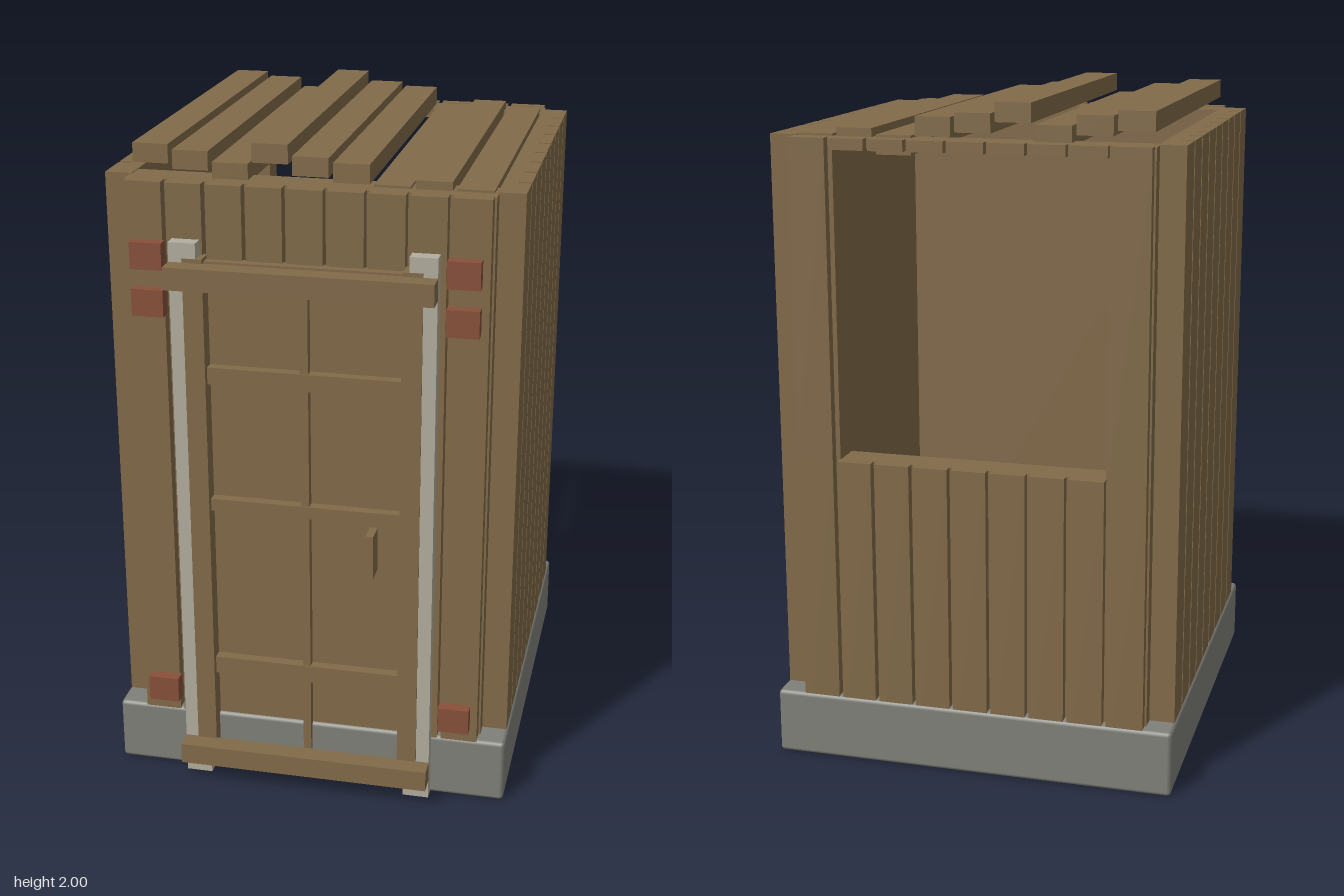
import * as THREE from 'three';
import { RoundedBoxGeometry } from 'three/addons/geometries/RoundedBoxGeometry.js';

const mat = (name, color) => {
  const m = new THREE.MeshStandardMaterial({ color });
  m.name = name;
  return m;
};

export function createModel() {
  const wood = mat('wood', 0x816a49);
  const stone = mat('stone', 0x80807a);
  const paleMetal = mat('pale metal', 0xb2ad9f);
  const rust = mat('rust red', 0x88503a);

  const model = new THREE.Group();
  model.name = 'woodenShed';
  const group = (name) => {
    const g = new THREE.Group();
    g.name = name;
    model.add(g);
    return g;
  };
  // Box given by its minimum and maximum on each axis
  const box = (parent, name, m, x0, x1, y0, y1, z0, z1) => {
    const mesh = new THREE.Mesh(new THREE.BoxGeometry(x1 - x0, y1 - y0, z1 - z0), m);
    mesh.position.set((x0 + x1) / 2, (y0 + y1) / 2, (z0 + z1) / 2);
    mesh.name = name;
    parent.add(mesh);
  };

  // Stone base with softened edges
  const base = new THREE.Mesh(new RoundedBoxGeometry(1.222, 0.2, 1.288, 1, 0.012), stone);
  base.position.set(0, 0.105, -0.056);
  base.name = 'base';
  model.add(base);

  const TOP = 1.895, LOW = 0.02, GAP = 0.006;
  const pitchX = 1.048 / 9, pitchZ = 1.12 / 9;

  // Side walls: inner lining and nine planks each
  for (const s of [-1, 1]) {
    const wall = group(s > 0 ? 'leftWall' : 'rightWall');
    const side = (name, a, b, z0, z1) =>
      box(wall, name, wood, Math.min(s * a, s * b), Math.max(s * a, s * b), LOW, TOP, z0, z1);
    side('lining', 0.525, 0.568, -0.62, 0.5);
    for (let i = 0; i < 9; i++) {
      const z = -0.62 + i * pitchZ;
      side('plank', 0.566, 0.605, z + (i ? GAP : 0), z + pitchZ - (i < 8 ? GAP : 0));
    }
  }

  // Front wall: lining, full planks at the edges, short ones above the door
  const front = group('frontWall');
  box(front, 'lining', wood, -0.53, 0.53, LOW, TOP - 0.002, 0.44, 0.546);
  for (let i = 0; i < 9; i++) {
    const x = -0.524 + i * pitchX;
    const y0 = i === 0 || i === 8 ? LOW : 1.64;
    box(front, 'plank', wood, x + (i ? GAP : 0), x + pitchX - (i < 8 ? GAP : 0), y0, TOP, 0.544, 0.585);
  }
  for (const s of [-1, 1]) {
    box(front, 'doorJamb', wood, s > 0 ? 0.29 : -0.402, s > 0 ? 0.402 : -0.29, LOW, 1.64, 0.544, 0.585);
  }

  // Back wall: low plank wall, side posts and a thin header around the opening
  const back = group('backWall');
  box(back, 'sillLining', wood, -0.53, 0.53, LOW, 0.948, -0.664, -0.57);
  box(back, 'headerLining', wood, -0.53, 0.53, 1.863, TOP - 0.002, -0.664, -0.57);
  for (const s of [-1, 1]) {
    box(back, 'post', wood, s > 0 ? 0.4 : -0.53, s > 0 ? 0.53 : -0.4, 0.948, 1.863, -0.664, -0.57);
  }
  for (let i = 0; i < 9; i++) {
    const x0 = -0.524 + i * pitchX + (i ? GAP : 0);
    const x1 = -0.524 + (i + 1) * pitchX - (i < 8 ? GAP : 0);
    box(back, 'lowPlank', wood, x0, x1, LOW, 0.95, -0.693, -0.662);
    box(back, 'headerPlank', wood, x0, x1, 1.862, TOP, -0.693, -0.662);
    if (i === 0 || i === 8) box(back, 'edgePlank', wood, x0, x1, 0.95, 1.862, -0.693, -0.662);
  }

  // Uneven roof slats
  const roof = group('roof');
  [1.985, 1.97, 1.94, 2.0, 1.968, 1.955, 1.9, 1.918, 1.9].forEach((top, i) => {
    const x = -0.524 + i * pitchX;
    box(roof, 'slat', wood, x + GAP, x + pitchX - GAP, top - 0.056, top, -0.62, 0.505);
  });

  // Panelled door
  const door = group('door');
  box(door, 'panel', wood, -0.29, 0.29, 0.06, 1.64, 0.544, 0.578);
  box(door, 'muntin', wood, -0.012, 0.012, 0.1, 1.62, 0.57, 0.606);
  for (const [y0, y1] of [[0.36, 0.415], [0.91, 0.948], [1.31, 1.362], [1.605, 1.68]]) {
    box(door, 'rail', wood, -0.287, 0.287, y0, y1, 0.57, 0.61);
  }
  for (const s of [-1, 1]) {
    const span = (name, m, a, b, y0, y1, z0, z1) =>
      box(door, name, m, Math.min(s * a, s * b), Math.max(s * a, s * b), y0, y1, z0, z1);
    span('stile', wood, 0.286, 0.345, 0.05, 1.69, 0.57, 0.63);
    span('metalStrip', paleMetal, 0.305, 0.385, 0.01, 1.735, 0.58, 0.627);
    // Hinge blocks beside the door
    for (const [y0, y1] of [[0.245, 0.325], [1.508, 1.588], [1.647, 1.727]]) {
      span('hingeBlock', rust, 0.408, 0.502, y0, y1, 0.58, 0.62);
    }
  }
  for (const [y0, y1] of [[0.07, 0.135], [1.612, 1.678]]) {
    box(door, 'crossBeam', wood, -0.385, 0.385, y0, y1, 0.625, 0.685);
  }
  box(door, 'handle', wood, 0.2, 0.223, 0.78, 0.915, 0.636, 0.7);

  return model;
}
